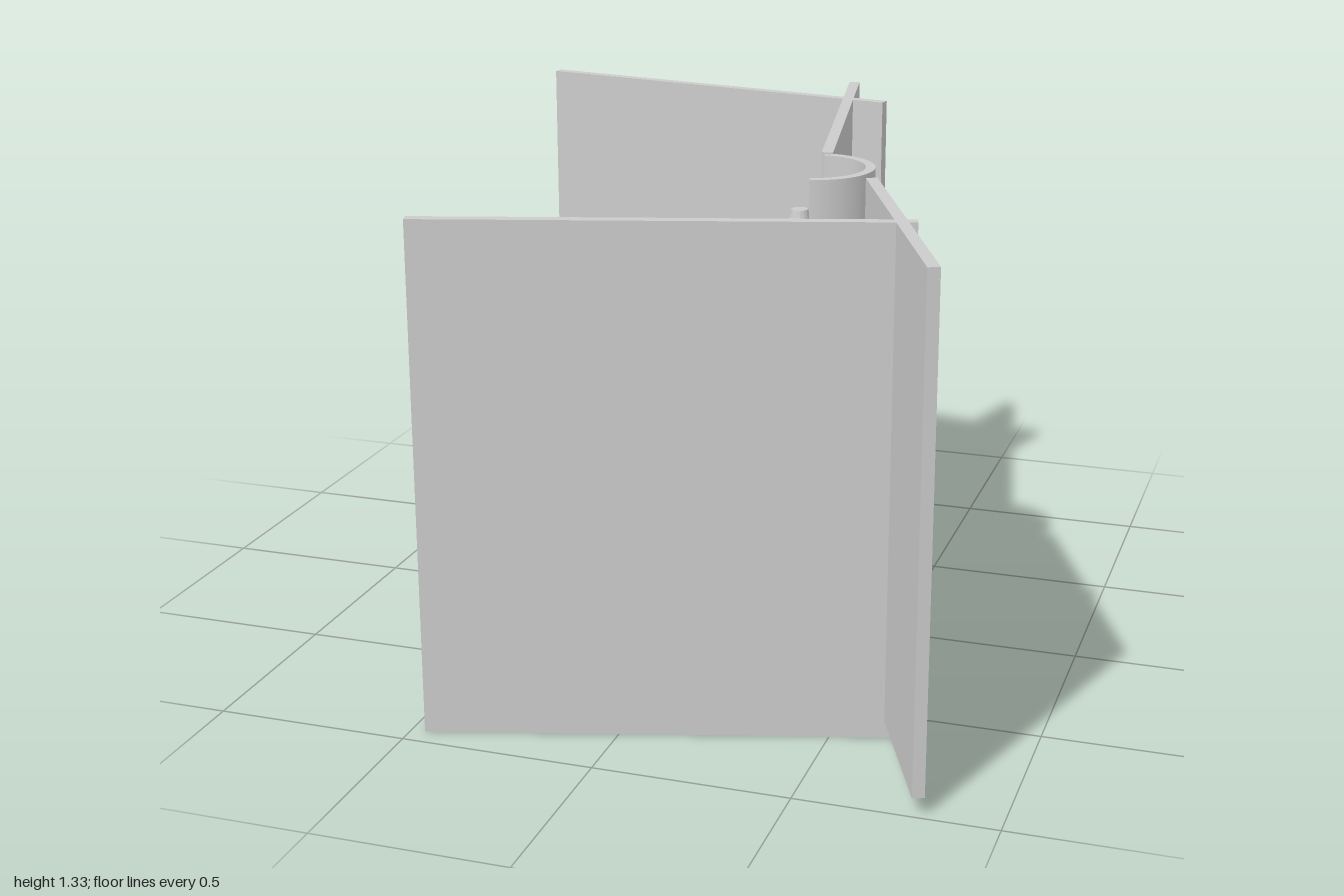
import * as THREE from 'three';

const material = new THREE.MeshStandardMaterial({ color: 0xcccccc, side: THREE.DoubleSide });

// Upright slab between two plan points [x, z], spanning y0..y1
function panel(name, [xa, za], [xb, zb], y0, y1) {
  const length = Math.hypot(xb - xa, zb - za);
  const mesh = new THREE.Mesh(new THREE.BoxGeometry(length, y1 - y0, 0.03), material);
  mesh.position.set((xa + xb) / 2, (y0 + y1) / 2, (za + zb) / 2);
  mesh.rotation.y = -Math.atan2(zb - za, xb - xa);
  mesh.name = name;
  return mesh;
}

// Curved wall: a ring sector in plan, extruded downwards from its top
function curvedWall() {
  const cx = 0.295, cz = 0.15, start = -Math.PI / 2 - 0.04, end = 1.34;
  const shape = new THREE.Shape();
  shape.absarc(cx, cz, 0.16, start, end, false);
  shape.absarc(cx, cz, 0.135, end, start, true);
  const geometry = new THREE.ExtrudeGeometry(shape, { depth: 1.285, bevelEnabled: false, curveSegments: 32 });
  geometry.rotateX(Math.PI / 2).translate(0, 1.32, 0);
  const mesh = new THREE.Mesh(geometry, material);
  mesh.name = 'curvedWall';
  return mesh;
}

// Slender stem with flared discs alternating to either side
function flaredColumn() {
  const group = new THREE.Group();
  group.name = 'flaredColumn';
  const faceted = material.clone();
  faceted.flatShading = true;

  const stem = new THREE.Mesh(new THREE.CylinderGeometry(0.025, 0.025, 1.0, 10), faceted);
  stem.position.y = 0.68;
  stem.name = 'stem';
  group.add(stem);

  const profile = [[0, -0.08], [0.022, -0.08], [0.03, -0.04], [0.072, -0.008],
    [0.072, 0.008], [0.03, 0.04], [0.022, 0.08], [0, 0.08]].map(p => new THREE.Vector2(...p));
  const flareGeometry = new THREE.LatheGeometry(profile, 16);
  for (let i = 0; i < 7; i++) {
    const flare = new THREE.Mesh(flareGeometry, faceted);
    flare.position.set(0, 1.12 - i * 0.145, i % 2 ? 0.04 : -0.04);
    flare.name = 'flare';
    group.add(flare);
  }
  group.position.set(0.255, 0, 0.162);
  return group;
}

export function createModel() {
  const model = new THREE.Group();
  model.name = 'screenWalls';
  model.add(
    panel('backWall', [-0.82, -0.912], [0.265, -0.72], 0.09, 1.325),
    panel('backCrossWall', [0.102, -1.0], [0.293, 0.0], 0.1, 1.325),
    panel('frontCrossWall', [0.46, 0.19], [0.803, 0.99], 0.045, 1.31),
    panel('frontWall', [-0.468, 0.933], [0.675, 0.597], 0, 1.31),
    curvedWall(),
    flaredColumn(),
  );
  return model;
}
